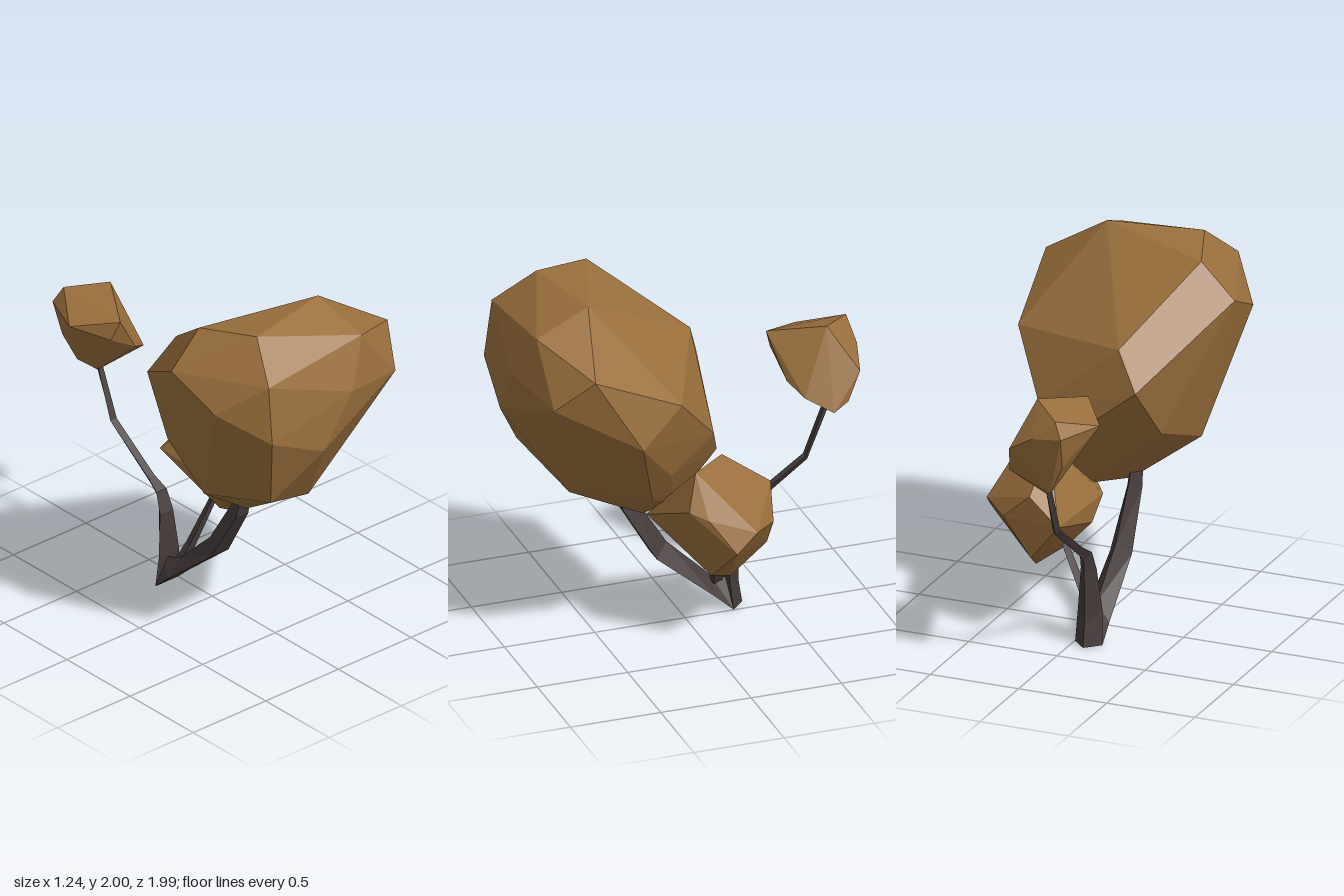
import * as THREE from 'three';
import { ConvexGeometry } from 'three/addons/geometries/ConvexGeometry.js';

const foliage = new THREE.MeshStandardMaterial({ color: 0x9a6f3c, flatShading: true });
foliage.name = 'ochre foliage';
const bark = new THREE.MeshStandardMaterial({ color: 0x453a3a, flatShading: true });
bark.name = 'dark bark';

// Faceted clump of leaves: the hull around a few corner points
function clump(name, corners) {
  const points = corners.map(c => new THREE.Vector3(...c));
  const mesh = new THREE.Mesh(new ConvexGeometry(points), foliage);
  mesh.name = name;
  return mesh;
}

// Three-sided limb, flat in front with a ridge behind,
// through sections [x, halfWidth, frontY, frontZ, ridgeY, ridgeZ]
function limb(name, sections) {
  const pos = [], index = [];
  for (const [x, w, fy, fz, ry, rz] of sections) {
    pos.push(x + w, fy, fz, x, ry, rz, x - w, fy, fz);
  }
  const last = (sections.length - 1) * 3;
  for (let r = 0; r < last; r += 3) {
    for (let i = 0; i < 3; i++) {
      const a = r + i, b = r + (i + 1) % 3;
      index.push(a, b, b + 3, a, b + 3, a + 3);
    }
  }
  index.push(0, 2, 1, last, last + 1, last + 2);
  const indexed = new THREE.BufferGeometry();
  indexed.setAttribute('position', new THREE.Float32BufferAttribute(pos, 3));
  indexed.setIndex(index);
  const geometry = indexed.toNonIndexed();
  geometry.computeVertexNormals();
  const mesh = new THREE.Mesh(geometry, bark);
  mesh.name = name;
  return mesh;
}

export function createModel() {
  const tree = new THREE.Group();
  tree.name = 'tree';

  // Leaning trunk and the limbs that fork from its foot
  tree.add(limb('frontTrunk', [
    [-0.08, 0.077, 0, -0.27, 0.14, -0.3],
    [-0.08, 0.073, 0.09, -0.17, 0.19, -0.165],
    [-0.08, 0.062, 0.355, 0.15, 0.42, 0.075],
    [-0.08, 0.042, 0.66, 0.33, 0.70, 0.25],
    [-0.08, 0.035, 0.8, 0.36, 0.84, 0.3],
  ]));
  tree.add(limb('rearBranch', [
    [-0.08, 0.077, 0, -0.27, 0, -0.345],
    [-0.08, 0.07, 0.18, -0.25, 0.13, -0.325],
    [-0.08, 0.045, 0.42, -0.27, 0.42, -0.33],
    [-0.08, 0.035, 0.53, -0.31, 0.48, -0.335],
    [-0.08, 0.022, 0.58, -0.39, 0.54, -0.40],
    [-0.08, 0.022, 0.79, -0.69, 0.765, -0.705],
    [-0.08, 0.016, 1.08, -0.80, 1.07, -0.83],
  ]));
  tree.add(limb('sideBranch', [
    [-0.05, 0.035, 0.16, -0.165, 0.16, -0.225],
    [0.0, 0.025, 0.24, -0.155, 0.24, -0.205],
    [0.13, 0.018, 0.5, -0.12, 0.5, -0.155],
  ]));

  // Large crown
  tree.add(clump('mainCrown', [
    [0.20, 2.0, 0.61], [-0.31, 1.99, 0.71], [-0.43, 1.95, 0.39], [-0.62, 1.76, 0.39],
    [0.59, 1.75, 0.71], [0.617, 1.33, 0.455], [0.10, 1.63, 0.995], [-0.41, 1.81, 0.92],
    [0.24, 1.88, 0.91], [-0.42, 1.49, 0.96], [-0.59, 1.62, 0.70], [0.48, 1.57, 0.90],
    [-0.09, 1.34, 0.99], [0.53, 1.51, 0.21], [0.30, 1.20, -0.05], [-0.17, 1.59, -0.09],
    [-0.30, 1.39, -0.17], [0.15, 1.03, -0.12], [0.08, 0.88, 0.67], [-0.31, 1.04, 0.82],
    [-0.42, 0.96, 0.42], [-0.06, 0.70, 0.34], [0.39, 1.04, 0.22], [-0.35, 1.1, 0.05],
    [0.30, 0.87, 0.29], [0.08, 0.69, 0.27], [0.1, 0.73, 0.1],
  ]));

  // Medium clump at the model's left
  tree.add(clump('sideCrown', [
    [0.56, 0.61, -0.085], [0.525, 0.70, -0.21], [0.50, 0.80, 0.05], [0.37, 0.67, -0.355],
    [0.2, 0.82, -0.40], [0.02, 0.69, -0.44], [0.27, 0.345, -0.155], [0.40, 0.43, 0],
    [0.20, 0.47, -0.38], [0.45, 0.84, 0.14], [0.38, 1.03, 0.08], [0.20, 1.02, -0.13],
    [0.1, 0.69, 0.25], [0.01, 0.57, -0.02], [0.12, 0.45, -0.08], [0.33, 0.635, 0.12],
    [0.0, 0.69, 0.1],
  ]));

  // Small clump on the rear branch
  tree.add(clump('rearCrown', [
    [-0.185, 1.49, -0.515], [-0.22, 1.38, -0.55], [-0.015, 1.55, -0.79], [-0.19, 1.51, -0.96],
    [-0.235, 1.425, -0.995], [-0.065, 1.40, -0.975], [-0.345, 1.43, -0.735], [0.08, 1.31, -0.94],
    [0.11, 1.16, -0.865], [0.14, 1.12, -0.775], [0.08, 1.2, -0.635], [-0.03, 1.26, -0.575],
    [-0.08, 1.035, -0.815], [-0.14, 1.08, -0.91], [-0.22, 1.25, -0.935], [-0.1, 1.08, -0.76],
  ]));

  return tree;
}
